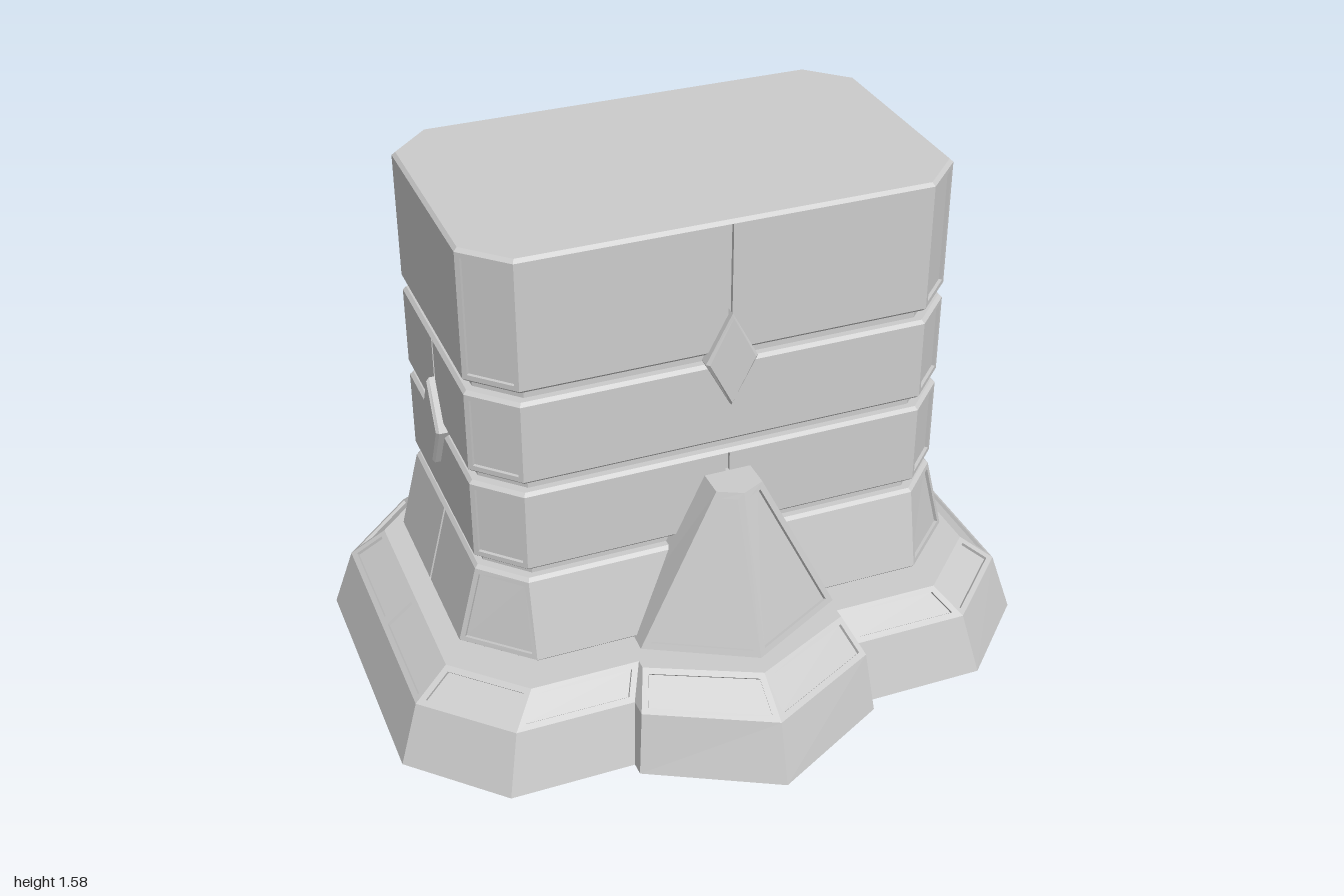
import * as THREE from 'three';

const material = new THREE.MeshStandardMaterial({ color: 0xcccccc, flatShading: true });

function makeMesh(name, pos) {
  const geo = new THREE.BufferGeometry();
  geo.setAttribute('position', new THREE.Float32BufferAttribute(pos, 3));
  geo.computeVertexNormals();
  const mesh = new THREE.Mesh(geo, material);
  mesh.name = name;
  return mesh;
}

function tri(pos, ...pts) {
  for (const p of pts) pos.push(p.x, p.y, p.z);
}

function quad(pos, a, b, c, d) {
  tri(pos, a, b, c, a, c, d);
}

// Quad with a sunken panel, framed by a margin of even width
function panel(pos, corners, margin, depth) {
  const [a, b, , d] = corners;
  const normal = b.clone().sub(a).cross(d.clone().sub(a)).normalize();
  const inset = corners.map((p, i) => {
    const u = corners[(i + 1) % 4].clone().sub(p).normalize();
    const v = corners[(i + 3) % 4].clone().sub(p).normalize();
    const sin = u.clone().cross(v).length();
    return p.clone().addScaledVector(u.add(v), margin / sin);
  });
  const sunk = inset.map(p => p.clone().addScaledVector(normal, -depth));
  for (let i = 0; i < 4; i++) {
    const j = (i + 1) % 4;
    if (margin > 0) quad(pos, corners[i], corners[j], inset[j], inset[i]);
    quad(pos, inset[i], inset[j], sunk[j], sunk[i]);
  }
  quad(pos, ...sunk);
}

const ring = (pts, y) => pts.map(([x, z]) => new THREE.Vector3(x, y, z));

// Walls between two rings; style(i, width) may return [margin, depth] for a panel
function walls(pos, low, high, style = () => null) {
  low.forEach((a, i) => {
    const j = (i + 1) % low.length;
    const corners = [low[j], a, high[i], high[j]];
    const s = style(i, a.distanceTo(low[j]));
    if (s) panel(pos, corners, ...s);
    else quad(pos, ...corners);
  });
}

function cap(pos, pts, up) {
  const centre = new THREE.Vector3();
  pts.forEach(p => centre.addScaledVector(p, 1 / pts.length));
  pts.forEach((p, i) => {
    const q = pts[(i + 1) % pts.length];
    if (up) tri(pos, centre, q, p);
    else tri(pos, centre, p, q);
  });
}

// Mirror a quarter outline, running from +x to +z, into a full one
function mirrorQuarter(q) {
  const half = [...q, ...[...q].reverse().map(([x, z]) => [-x, z])];
  const full = [...half, ...[...half].reverse().map(([x, z]) => [x, -z])];
  return full.filter((p, i) => {
    const n = full[(i + 1) % full.length];
    return Math.hypot(p[0] - n[0], p[1] - n[1]) > 1e-6;
  });
}

// Chamfered rectangle, with a narrow strip kept in the middle of each side
function octagon(hx, hz, cx, cz, y) {
  const g = 0.006;
  return ring(mirrorQuarter([[hx, g], [hx, hz - cz], [hx - cx, hz], [g, hz]]), y);
}

function makeBand({ name, y0, y1, flare = false, frontSeam = false, sideSeam = false }) {
  const pos = [], e = 0.01;
  const size = flare ? [0.78, 0.48, 0.18, 0.17] : [0.72, 0.43, 0.12, 0.12];
  const inner = ([hx, hz, cx, cz]) => [hx - e, hz - e, cx - e / 2, cz - e / 2];
  const top = [0.72, 0.43, 0.12, 0.12];
  const rings = [
    octagon(...inner(size), y0), octagon(...size, y0 + e),
    octagon(...top, y1 - e), octagon(...inner(top), y1),
  ];
  walls(pos, rings[0], rings[1]);
  walls(pos, rings[1], rings[2], i => {
    if (i % 4 === 1) return [0.015, 0.01];
    if ((frontSeam && i % 8 === 3) || (sideSeam && i % 8 === 7)) return [0, 0.012];
    return null;
  });
  walls(pos, rings[2], rings[3]);
  cap(pos, rings[0], false);
  cap(pos, rings[3], true);
  return makeMesh(name, pos);
}

function makeBase() {
  const pos = [];
  const foot = ring(mirrorQuarter(
    [[1, 0], [1, 0.41], [0.75, 0.66], [0.375, 0.66], [0.375, 0.70], [0, 0.90]]), 0);
  const shoulder = ring(mirrorQuarter(
    [[0.94, 0], [0.94, 0.385], [0.71, 0.61], [0.355, 0.61], [0.355, 0.665], [0, 0.845]]), 0.19);
  const rim = ring(mirrorQuarter(
    [[0.835, 0], [0.835, 0.35], [0.64, 0.54], [0.315, 0.54], [0.315, 0.57], [0, 0.72]]), 0.275);
  walls(pos, foot, shoulder);
  walls(pos, shoulder, rim, (i, width) => (width > 0.1 ? [0.018, 0.01] : null));
  cap(pos, foot, false);
  cap(pos, rim, true);
  return makeMesh('base', pos);
}

function makeButtress(name) {
  const pos = [];
  const low = ring([[0.30, 0.38], [0.305, 0.53], [0, 0.695], [-0.305, 0.53], [-0.30, 0.38]], 0.31);
  const high = ring([[0.07, 0.38], [0.07, 0.515], [0, 0.55], [-0.07, 0.515], [-0.07, 0.38]], 0.79);
  walls(pos, low, high, i => (i === 1 || i === 2 ? [0.02, 0.01] : null));
  cap(pos, low, false);
  cap(pos, high, true);
  return makeMesh(name, pos);
}

function makeDiamond(name) {
  const shape = new THREE.Shape();
  shape.moveTo(0, -0.145).lineTo(0.077, 0).lineTo(0, 0.145).lineTo(-0.077, 0).closePath();
  const geo = new THREE.ExtrudeGeometry(shape, {
    depth: 0.03, bevelEnabled: true, bevelThickness: 0.008,
    bevelSize: 0.008, bevelOffset: -0.008, bevelSegments: 1,
  });
  const mesh = new THREE.Mesh(geo, material);
  mesh.name = name;
  return mesh;
}

export function createModel() {
  const model = new THREE.Group();
  model.name = 'pedestal';
  model.add(makeBase());

  // Narrow core, seen in the gaps between bands
  const corePos = [];
  walls(corePos, octagon(0.69, 0.40, 0.11, 0.11, 0.26), octagon(0.69, 0.40, 0.11, 0.11, 1.3));
  model.add(makeMesh('core', corePos));

  // Stacked bands
  [
    { name: 'flaredBand', y0: 0.31, y1: 0.57, flare: true, sideSeam: true },
    { name: 'lowerBand', y0: 0.60, y1: 0.86, frontSeam: true },
    { name: 'middleBand', y0: 0.89, y1: 1.15, sideSeam: true },
    { name: 'topBand', y0: 1.18, y1: 1.58, frontSeam: true },
  ].forEach(b => model.add(makeBand(b)));

  // Front and back buttresses
  [['frontButtress', 0], ['backButtress', Math.PI]].forEach(([name, turn]) => {
    const buttress = makeButtress(name);
    buttress.rotation.y = turn;
    model.add(buttress);
  });

  // Diamond studs on all four sides
  [['frontDiamond', 0.417, 1.165], ['leftDiamond', 0.707, 0.875],
    ['backDiamond', 0.417, 1.165], ['rightDiamond', 0.707, 0.875]].forEach(([name, out, y], i) => {
    const stud = makeDiamond(name);
    const turn = i * Math.PI / 2;
    stud.rotation.y = turn;
    stud.position.set(Math.sin(turn) * out, y, Math.cos(turn) * out);
    model.add(stud);
  });
  return model;
}
